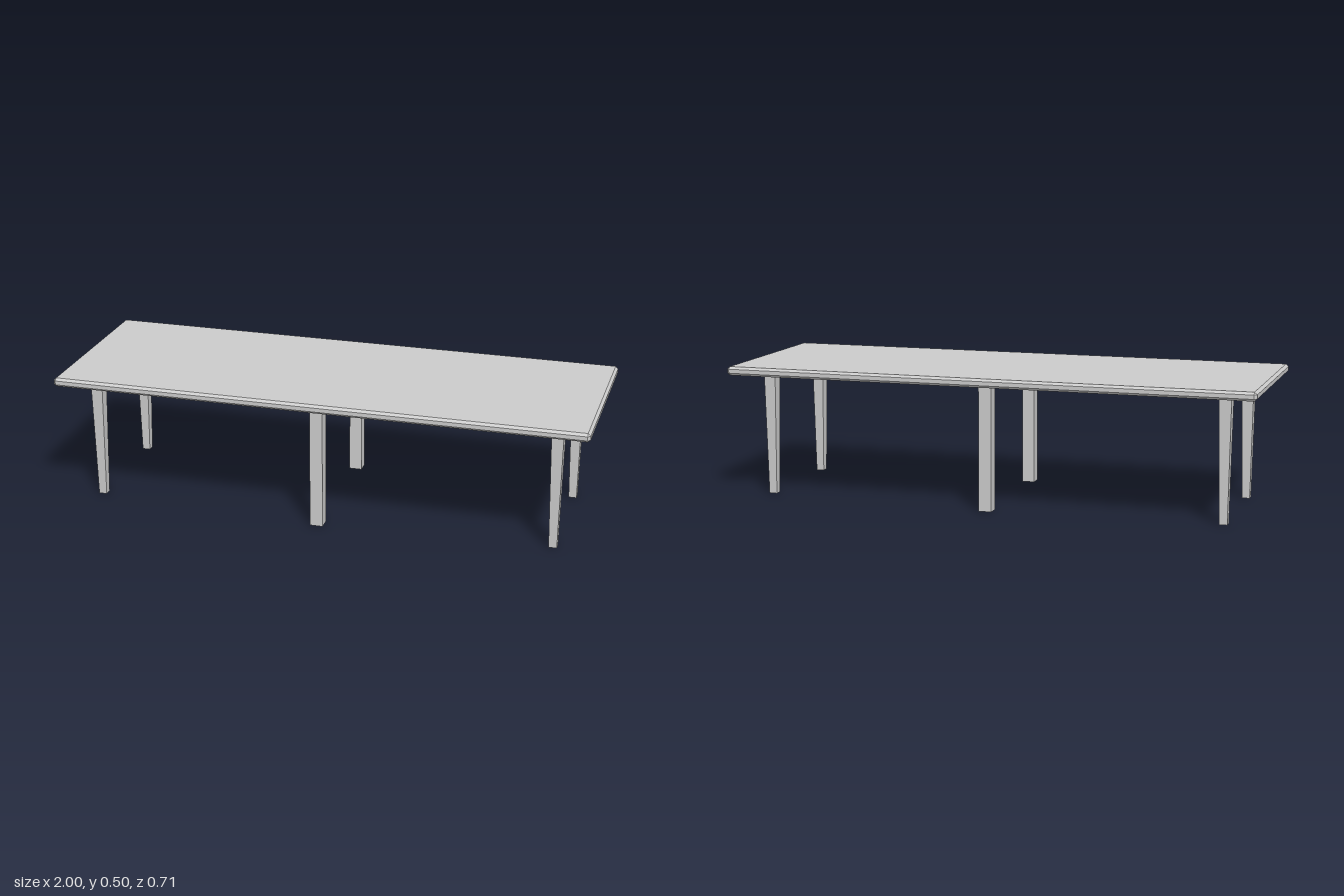
import * as THREE from 'three';
import { ConvexGeometry } from 'three/addons/geometries/ConvexGeometry.js';

const TOP = 0.5, UNDERSIDE = 0.467;
const material = new THREE.MeshStandardMaterial({ color: 0xcccccc, flatShading: true });
const legMaterial = new THREE.MeshStandardMaterial({ color: 0xcccccc, flatShading: true, side: THREE.DoubleSide });

// Box with every edge and corner cut by a flat chamfer
function chamferedBox(w, h, d, c, cy) {
  const points = [];
  for (const i of [-1, 1]) for (const j of [-1, 1]) for (const k of [-1, 1]) {
    const x = i * w / 2, y = j * h / 2, z = k * d / 2;
    const xi = x - i * c, yi = y - j * cy, zi = z - k * c;
    points.push(
      new THREE.Vector3(x, yi, zi),
      new THREE.Vector3(xi, y, zi),
      new THREE.Vector3(xi, yi, z)
    );
  }
  return new ConvexGeometry(points);
}

// Square, open-ended leg; widths are measured across the flats
function legGeometry(topWidth, bottomWidth) {
  return new THREE.CylinderGeometry(
    topWidth * Math.SQRT1_2, bottomWidth * Math.SQRT1_2, UNDERSIDE, 4, 1, true
  ).rotateY(Math.PI / 4).translate(0, UNDERSIDE / 2, 0);
}

export function createModel() {
  const table = new THREE.Group();
  table.name = 'table';

  function add(name, geometry, mat, x, y, z) {
    const mesh = new THREE.Mesh(geometry, mat);
    mesh.name = name;
    mesh.position.set(x, y, z);
    table.add(mesh);
  }

  add('tabletop', chamferedBox(2, TOP - UNDERSIDE, 0.71, 0.01, 0.009), material,
    0, (TOP + UNDERSIDE) / 2, 0);

  // Straight middle legs and tapered corner legs, front and back
  const middleLeg = legGeometry(0.048, 0.048);
  const cornerLeg = legGeometry(0.045, 0.03);
  for (const [end, sz] of [['front', 1], ['back', -1]]) {
    add(end + 'MiddleLeg', middleLeg, legMaterial, 0, 0, sz * 0.274);
    for (const [side, sx] of [['Left', 1], ['Right', -1]]) {
      add(end + side + 'Leg', cornerLeg, legMaterial, sx * 0.872, 0, sz * 0.227);
    }
  }
  return table;
}
